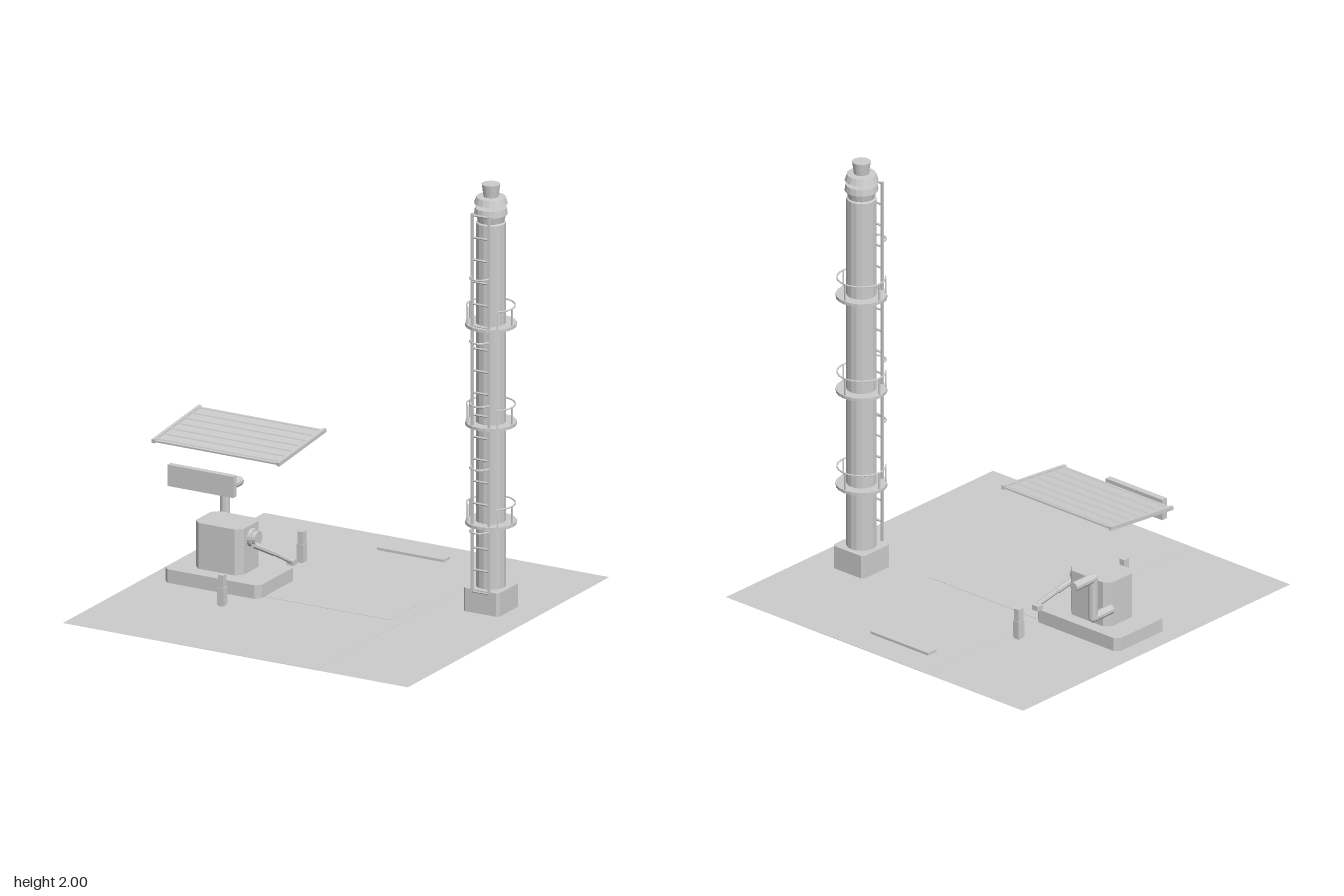
import * as THREE from 'three';

const grey = new THREE.MeshStandardMaterial({ color: 0xcccccc, flatShading: true, side: THREE.DoubleSide });
grey.name = 'plainGrey';

const V = (x, y, z) => new THREE.Vector3(x, y, z);

function add(parent, name, geometry, x = 0, y = 0, z = 0) {
  const mesh = new THREE.Mesh(geometry, grey);
  mesh.name = name;
  mesh.position.set(x, y, z);
  parent.add(mesh);
  return mesh;
}

// Box given by its minimum and maximum corners
function block(parent, name, x0, x1, y0, y1, z0, z1) {
  return add(parent, name, new THREE.BoxGeometry(x1 - x0, y1 - y0, z1 - z0),
    (x0 + x1) / 2, (y0 + y1) / 2, (z0 + z1) / 2);
}

// Upright block with cut corners
function cutBlock(parent, name, x0, x1, y0, y1, z0, z1, c) {
  const a = (x1 - x0) / 2, b = (z1 - z0) / 2;
  const outline = [[a - c, -b], [a, c - b], [a, b - c], [a - c, b], [c - a, b], [-a, b - c], [-a, c - b], [c - a, -b]];
  const shape = new THREE.Shape(outline.map(([x, y]) => new THREE.Vector2(x, y)));
  const g = new THREE.ExtrudeGeometry(shape, { depth: y1 - y0, bevelEnabled: false });
  g.rotateX(-Math.PI / 2);
  return add(parent, name, g, (x0 + x1) / 2, y0, (z0 + z1) / 2);
}

// Straight round bar between two points
function rod(parent, name, p, q, r, sides = 8) {
  const mesh = add(parent, name, new THREE.CylinderGeometry(r, r, p.distanceTo(q), sides));
  mesh.position.copy(p).lerp(q, 0.5);
  mesh.quaternion.setFromUnitVectors(V(0, 1, 0), q.clone().sub(p).normalize());
  return mesh;
}

// Horizontal arc of bar; angles are measured from +z towards +x
function arcBar(parent, name, r, from, to, y, z, thick) {
  const pts = [];
  for (let i = 0; i <= 24; i++) {
    const a = from + (to - from) * i / 24;
    pts.push(V(r * Math.sin(a), y, z + r * Math.cos(a)));
  }
  add(parent, name, new THREE.TubeGeometry(new THREE.CatmullRomCurve3(pts), 24, thick, 6));
}

function createChimney() {
  const g = new THREE.Group();
  g.name = 'chimney';
  g.position.set(0.655, 0, -0.25);
  cutBlock(g, 'chimneyBase', -0.093, 0.093, 0, 0.11, -0.093, 0.093, 0.012);

  // Shaft with flared collar, then a raised cap with a short outlet
  const profiles = {
    shaft: [[0, 0.1], [0.068, 0.1], [0.068, 1.82], [0.06, 1.825], [0.068, 1.86], [0.076, 1.86], [0.072, 1.89], [0, 1.89]],
    cap: [[0, 1.91], [0.076, 1.91], [0.066, 1.94], [0.034, 1.942], [0.042, 2], [0, 2]],
  };
  for (const [name, pts] of Object.entries(profiles)) {
    add(g, name, new THREE.LatheGeometry(pts.map(([x, y]) => new THREE.Vector2(x, y)), 16));
  }
  rod(g, 'capStem', V(0, 1.88, 0), V(0, 1.92, 0), 0.008);

  // Three service platforms, their railings open at the ladder
  for (const y of [0.406, 0.872, 1.337]) {
    add(g, 'platform', new THREE.CylinderGeometry(0.116, 0.116, 0.014, 20), 0, y + 0.004, 0);
    const gap = Math.PI / 4;
    arcBar(g, 'railing', 0.109, gap, 2 * Math.PI - gap, y + 0.092, 0, 0.004);
    for (const k of [1, 2, 4, 6, 7]) {
      const a = k * gap, x = 0.109 * Math.sin(a), z = 0.109 * Math.cos(a);
      rod(g, 'railingPost', V(x, y, z), V(x, y + 0.092, z), 0.004, 6);
    }
  }

  // Ladder with half hoops
  for (const s of [-1, 1]) block(g, 'ladderRail', s * 0.043 - 0.005, s * 0.043 + 0.005, 0.1, 1.88, 0.086, 0.098);
  for (let i = 0; i < 18; i++) {
    const y = 0.1 + i * 0.1042;
    rod(g, 'rung', V(-0.043, y, 0.092), V(0.043, y, 0.092), 0.005, 6);
  }
  for (let i = 0; i < 5; i++) {
    arcBar(g, 'ladderHoop', 0.044, -Math.PI / 2, Math.PI / 2, 0.393 + i * 0.298, 0.097, 0.005);
  }
  return g;
}

function createMachine() {
  const g = new THREE.Group();
  g.name = 'machine';
  cutBlock(g, 'pad', -0.797, -0.298, 0, 0.064, -0.155, 0.17, 0.025);
  cutBlock(g, 'housing', -0.686, -0.438, 0.064, 0.28, -0.095, 0.095, 0.03);
  rod(g, 'port', V(-0.44, 0.222, 0), V(-0.418, 0.222, 0), 0.042, 16);
  rod(g, 'portCap', V(-0.42, 0.222, 0), V(-0.4, 0.222, 0), 0.034, 16);

  // Exhaust: out of the back, up, then back again
  const bend = [V(-0.69, 0.155, -0.08), V(-0.69, 0.155, -0.2), V(-0.69, 0.35, -0.2), V(-0.69, 0.35, -0.33)];
  for (let i = 0; i < 3; i++) rod(g, 'exhaustPipe', bend[i], bend[i + 1], 0.022, 10);
  for (const p of bend.slice(1, 3)) add(g, 'exhaustElbow', new THREE.SphereGeometry(0.022, 10, 8), p.x, p.y, p.z);

  // Slanting outlet arm
  rod(g, 'outletArm', V(-0.41, 0.2, 0.03), V(-0.36, 0.14, -0.07), 0.015);
  rod(g, 'outletArm', V(-0.36, 0.14, -0.07), V(-0.315, 0.085, -0.15), 0.012);
  block(g, 'armEnd', -0.34, -0.305, 0.066, 0.09, -0.18, -0.145);
  return g;
}

function createRoof() {
  const g = new THREE.Group();
  g.name = 'roof';
  g.position.set(-0.547, 0.659, -0.078);
  g.rotation.x = 0.1;
  block(g, 'roofSheet', -0.32, 0.32, -0.005, 0.003, -0.205, 0.205);
  for (let i = 0; i < 7; i++) {
    const z = -0.19 + i * 0.0627;
    rod(g, 'roofRib', V(-0.32, 0.002, z), V(0.32, 0.002, z), 0.007, 6);
  }
  for (const s of [-1, 1]) block(g, 'roofEdge', s * 0.322 - 0.008, s * 0.322 + 0.008, -0.009, 0.009, -0.209, 0.209);
  return g;
}

export function createModel() {
  const model = new THREE.Group();
  model.name = 'yard';

  // Ground with flat paving
  const ground = new THREE.PlaneGeometry(1.784, 1.784);
  ground.rotateX(-Math.PI / 2);
  add(model, 'ground', ground);
  block(model, 'roadStrip', -0.307, 0.414, 0.0005, 0.0015, -0.89, 0.89);
  block(model, 'parkingBay', -0.297, 0.355, 0.001, 0.003, -0.135, 0.125);
  block(model, 'wheelStop', -0.193, 0.153, 0.002, 0.014, -0.748, -0.692);

  model.add(createChimney(), createMachine(), createRoof());
  block(model, 'signBoard', -0.718, -0.378, 0.492, 0.592, 0.232, 0.262);

  // Bollards with a thicker sleeve
  for (const z of [-0.355, 0.35]) {
    block(model, 'bollard', -0.397, -0.37, 0.012, 0.158, z - 0.016, z + 0.016);
    block(model, 'bollardSleeve', -0.4, -0.367, 0.02, 0.1, z - 0.019, z + 0.019);
  }
  return model;
}
